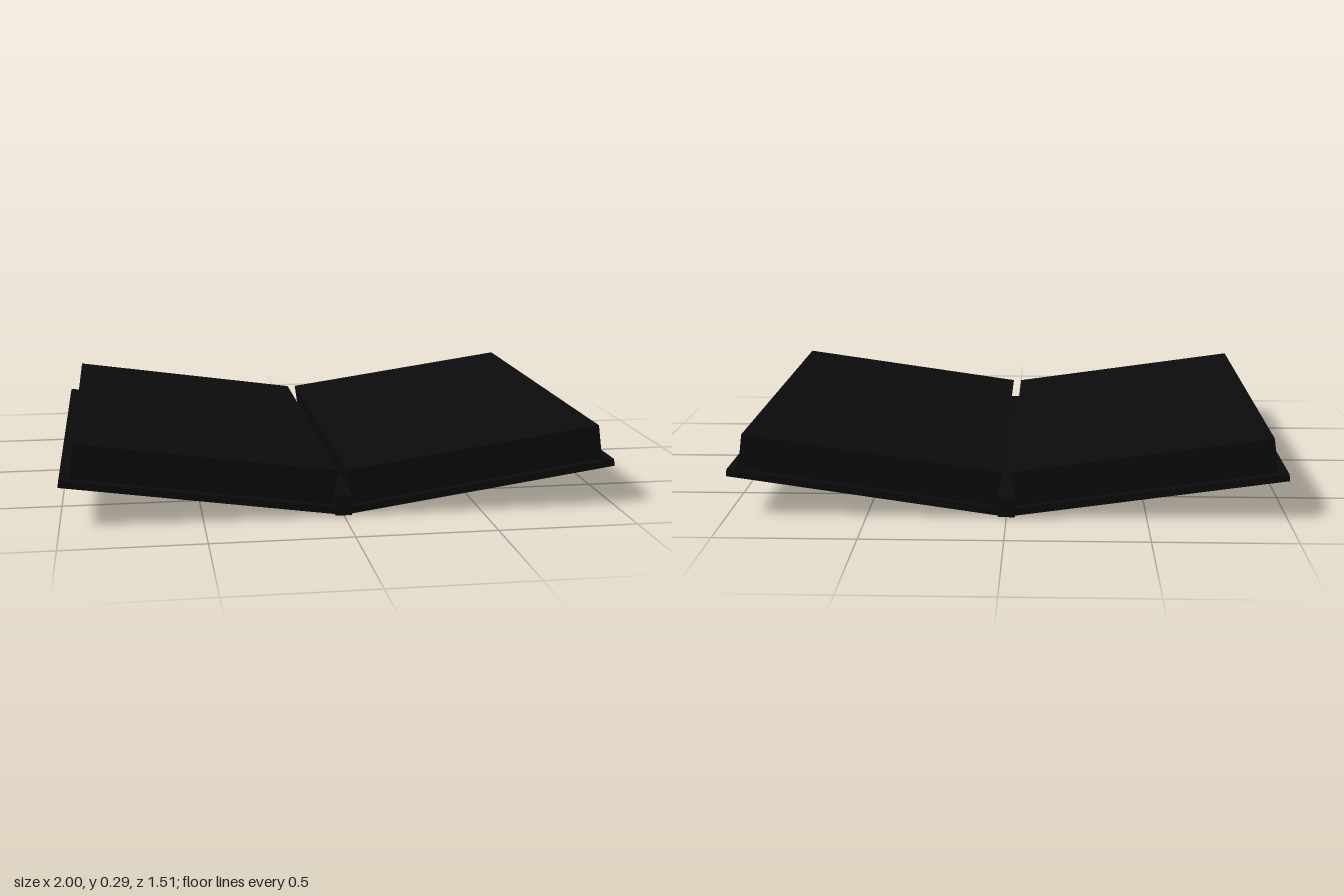
import * as THREE from 'three';

export function createModel() {
  const model = new THREE.Group();
  model.name = 'openBook';
  const black = new THREE.MeshStandardMaterial({ color: 0x0b0b0b });
  black.name = 'black';

  // Box given by its x and y limits, centred on z
  const slab = (name, x0, x1, y0, y1, depth) => {
    const mesh = new THREE.Mesh(new THREE.BoxGeometry(x1 - x0, y1 - y0, depth), black);
    mesh.position.set((x0 + x1) / 2, (y0 + y1) / 2, 0);
    mesh.name = name;
    return mesh;
  };

  // Spine between the two halves
  model.add(slab('spine', -0.03, 0.03, 0, 0.075, 1.51));

  // Each half: a thin cover carrying a smaller page block, tilted at the hinge
  for (const side of [1, -1]) {
    const half = new THREE.Group();
    half.name = side > 0 ? 'leftHalf' : 'rightHalf';
    const along = (name, a, b, y0, y1, depth) =>
      half.add(slab(name, Math.min(side * a, side * b), Math.max(side * a, side * b), y0, y1, depth));
    along('cover', -0.01, 0.98, 0, 0.026, 1.51);
    along('pages', 0.008, 0.945, 0.026, 0.153, 1.45);
    half.position.set(side * 0.03, 0.006, 0);
    half.rotation.z = side * 0.1414;
    model.add(half);
  }
  return model;
}
